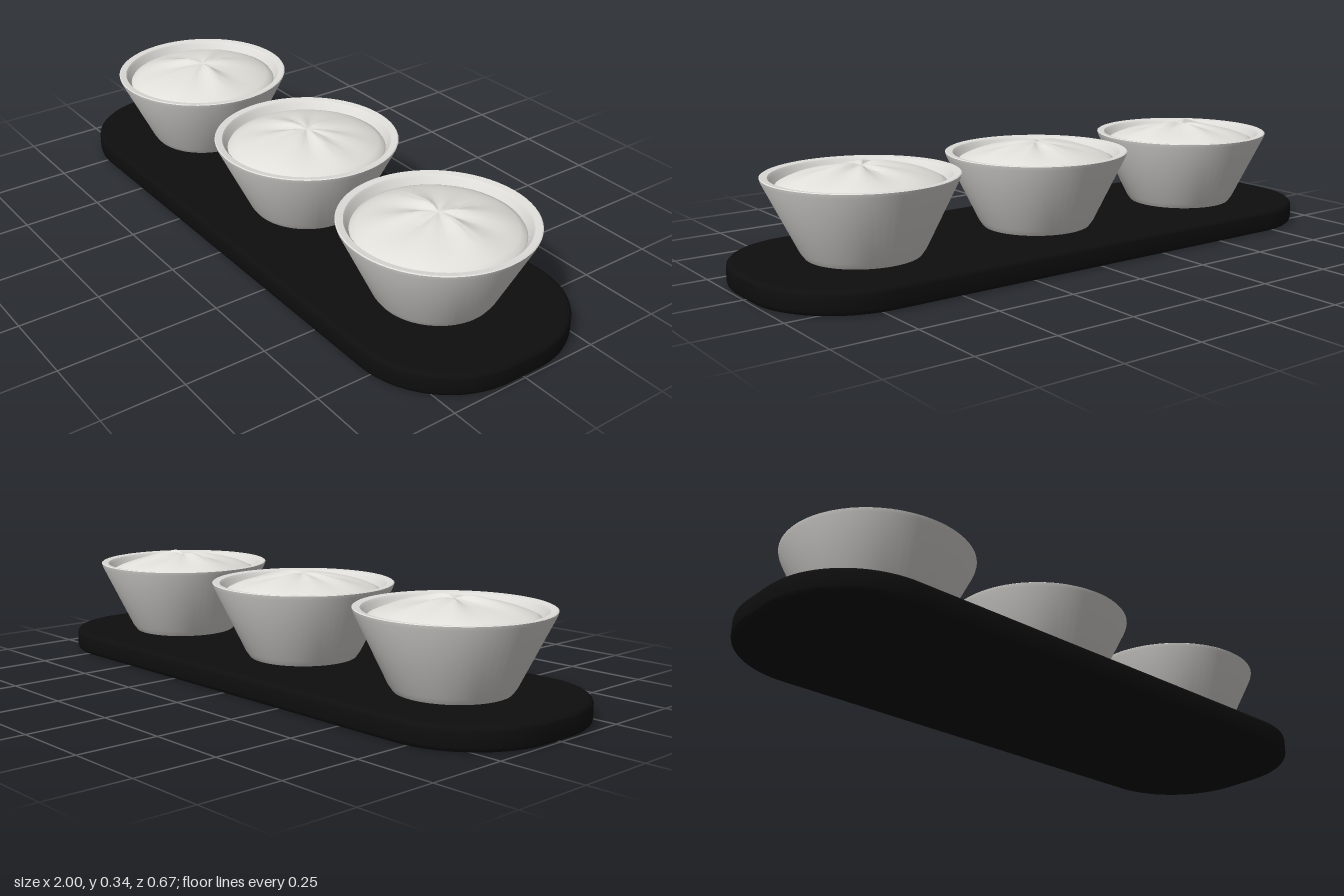
import * as THREE from 'three';
import { toCreasedNormals } from 'three/addons/utils/BufferGeometryUtils.js';

const trayBlack = new THREE.MeshStandardMaterial({ name: 'trayBlack', color: 0x0e0e0e });
const bowlWhite = new THREE.MeshStandardMaterial({ name: 'bowlWhite', color: 0xe0deda });
const fillingCream = new THREE.MeshStandardMaterial({ name: 'fillingCream', color: 0xe2e0da });

// Rounded tray with softened edges
function makeTray() {
  const bevel = 0.015, x = 1 - bevel, z = 0.337 - bevel, r = 0.27;
  const s = new THREE.Shape();
  s.moveTo(-x + r, -z);
  s.lineTo(x - r, -z);
  s.absarc(x - r, -z + r, r, -Math.PI / 2, 0);
  s.lineTo(x, z - r);
  s.absarc(x - r, z - r, r, 0, Math.PI / 2);
  s.lineTo(-x + r, z);
  s.absarc(-x + r, z - r, r, Math.PI / 2, Math.PI);
  s.lineTo(-x, -z + r);
  s.absarc(-x + r, -z + r, r, Math.PI, Math.PI * 1.5);
  const geo = new THREE.ExtrudeGeometry(s, {
    depth: 0.07 - 2 * bevel, bevelSize: bevel, bevelThickness: bevel, bevelSegments: 3, curveSegments: 14,
  });
  geo.rotateX(-Math.PI / 2);
  geo.translate(0, bevel, 0);
  const mesh = new THREE.Mesh(toCreasedNormals(geo, 0.6), trayBlack);
  mesh.name = 'tray';
  return mesh;
}

// Tapered bowl: outer wall, thin lip, inner wall and floor
function makeBowl() {
  const profile = [
    [0, 0.07], [0.17, 0.07], [0.183, 0.088], [0.284, 0.295], [0.287, 0.306], [0.284, 0.308],
    [0.264, 0.305], [0.258, 0.298], [0.17, 0.11], [0.15, 0.1], [0, 0.1],
  ].map(([r, y]) => new THREE.Vector2(r, y));
  const geo = new THREE.LatheGeometry(profile, 64);
  const mesh = new THREE.Mesh(toCreasedNormals(geo, 0.6), bowlWhite);
  mesh.name = 'bowl';
  return mesh;
}

// Low mound whose surface ripples around its pinched centre
function makeFilling(waves) {
  const profile = [
    [0.236, 0.25], [0.248, 0.274], [0.243, 0.282], [0.225, 0.291], [0.2, 0.301], [0.17, 0.31],
    [0.13, 0.319], [0.09, 0.326], [0.055, 0.331], [0.025, 0.333], [0.01, 0.332], [0, 0.331],
  ].map(([r, y]) => new THREE.Vector2(r, y));
  const geo = new THREE.LatheGeometry(profile, 96);
  const p = geo.attributes.position;
  for (let i = 0; i < p.count; i++) {
    const x = p.getX(i), z = p.getZ(i), r = Math.hypot(x, z), a = Math.atan2(z, x);
    const fade = Math.min(1, r / 0.045) * Math.max(0, 1 - r / 0.245);
    let lift = 0;
    for (const [count, phase, size] of waves) lift += size * Math.sin(count * a + phase);
    p.setY(i, p.getY(i) + lift * fade);
  }
  geo.computeVertexNormals();
  const mesh = new THREE.Mesh(toCreasedNormals(geo, 0.9), fillingCream);
  mesh.name = 'filling';
  return mesh;
}

export function createModel() {
  const group = new THREE.Group();
  group.name = 'bowlsOnTray';
  group.add(makeTray());

  // Ripples per bowl: [lobes, phase, height]
  const servings = [
    { name: 'rightBowl', x: -0.625, waves: [[3, 0.6, 0.006], [5, 1.2, 0.006], [8, 0.3, 0.003]] },
    { name: 'middleBowl', x: 0, waves: [[4, 2.0, 0.004], [7, 0.5, 0.004], [9, 1.1, 0.002]] },
    { name: 'leftBowl', x: 0.625, waves: [[2, 1.6, 0.005], [6, 1.57, 0.007], [4, 0.2, 0.004]] },
  ];
  for (const { name, x, waves } of servings) {
    const serving = new THREE.Group();
    serving.name = name;
    serving.position.x = x;
    serving.add(makeBowl(), makeFilling(waves));
    group.add(serving);
  }
  return group;
}
